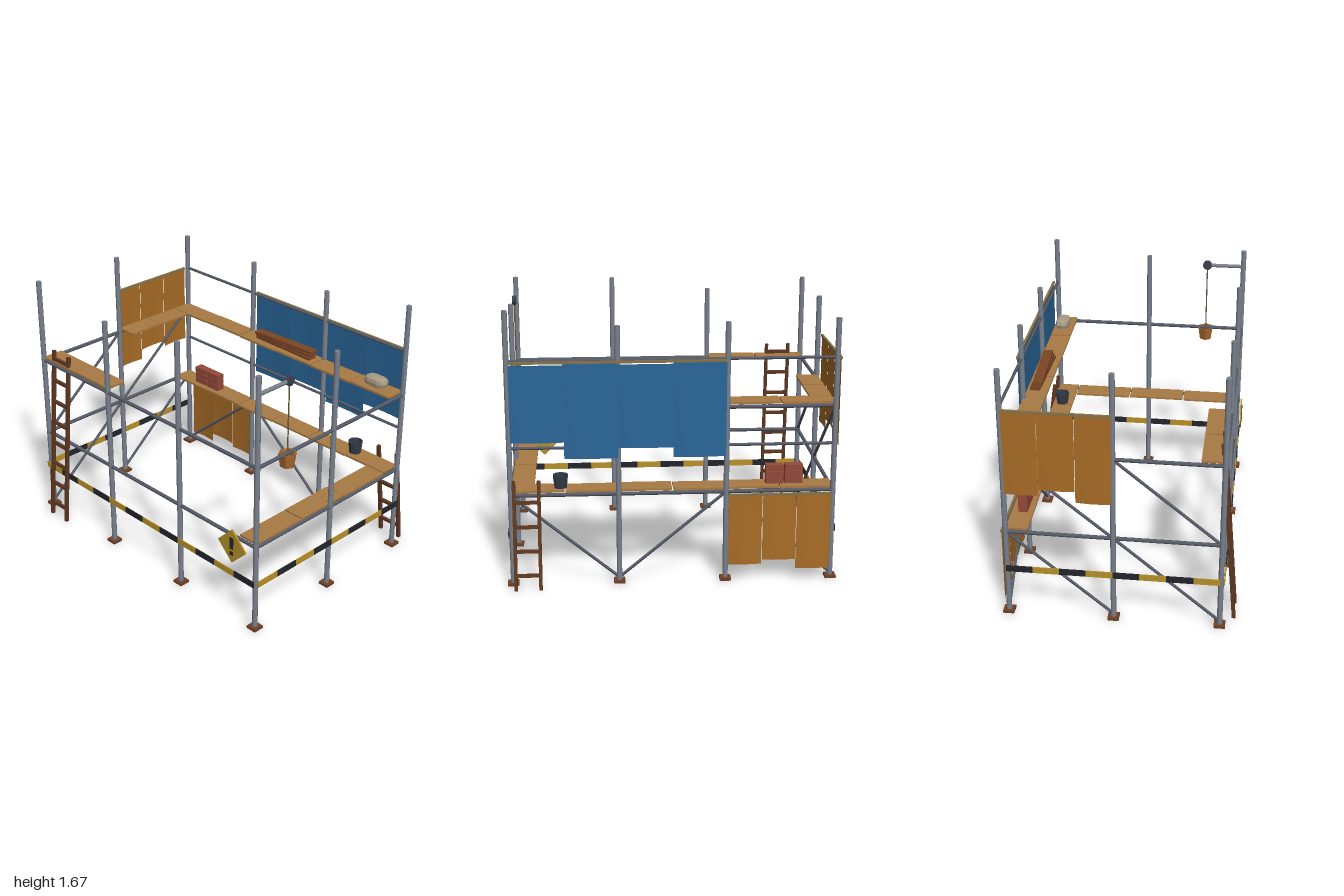
import * as THREE from 'three';

const mat = (color, extra = {}) => new THREE.MeshStandardMaterial({ color, ...extra });
const M = {
  steel: mat(0x7a818c), pipe: mat(0x555a66), plank: mat(0xa97a45), wood: mat(0x5e3822),
  foot: mat(0x6e4024), beam: mat(0x7c4524), brick: mat(0x94493a), yellow: mat(0xb8912a),
  black: mat(0x24252c), iron: mat(0x3a404c), rope: mat(0x6b5a3c), batten: mat(0x857348),
  pail: mat(0xa5672f, { flatShading: true, side: THREE.DoubleSide }),
  bucket: mat(0x343b47, { flatShading: true, side: THREE.DoubleSide }),
  sack: mat(0xa79c84, { flatShading: true }),
  blue: mat(0x2a6699, { side: THREE.DoubleSide }),
  orange: mat(0xa86c26, { side: THREE.DoubleSide }),
};
const X = [-0.965, -0.327, 0.31, 0.945];
const Z = [-0.62, 0.01, 0.64];
const LOW = 0.56, HIGH = 1.08;

export function createModel() {
  const root = new THREE.Group();

  const add = (name, geo, m, x = 0, y = 0, z = 0, parent = root) => {
    const mesh = new THREE.Mesh(geo, m);
    mesh.name = name;
    mesh.position.set(x, y, z);
    parent.add(mesh);
    return mesh;
  };
  const box = (name, m, w, h, d, x, y, z, parent) =>
    add(name, new THREE.BoxGeometry(w, h, d), m, x, y, z, parent);
  // Round pipe between two points
  const pipe = (name, m, a, b, r, parent) => {
    const A = new THREE.Vector3(...a), B = new THREE.Vector3(...b);
    const mesh = add(name, new THREE.CylinderGeometry(r, r, A.distanceTo(B), 10), m, 0, 0, 0, parent);
    mesh.position.copy(A).lerp(B, 0.5);
    mesh.quaternion.setFromUnitVectors(new THREE.Vector3(0, 1, 0), B.sub(A).normalize());
    return mesh;
  };

  // Upright posts with wooden foot blocks: x, z, height
  const posts = [
    [X[0], Z[0], 1.6], [X[1], Z[0], 1.585], [X[2], Z[0], 1.57], [X[3], Z[0], 1.665],
    [X[0], Z[1], 1.61], [X[3], Z[1], 1.58],
    [X[0], Z[2], 1.62], [X[1], Z[2], 1.55], [X[2], Z[2], 1.63], [X[3], Z[2], 1.64],
  ];
  for (const [x, z, h] of posts) {
    pipe('post', M.steel, [x, 0.01, z], [x, h, z], 0.0165);
    box('footBlock', M.foot, 0.067, 0.016, 0.067, x, 0.008, z);
  }

  // Horizontal rails around both levels, guard rails along the back
  for (const y of [LOW, HIGH]) {
    for (const z of [Z[0], Z[2]]) pipe('longRail', M.pipe, [X[0], y, z], [X[3], y, z], 0.0115);
    for (const x of [X[0], X[3]]) pipe('sideRail', M.pipe, [x, y, Z[0]], [x, y, Z[2]], 0.0115);
  }
  for (const y of [0.85, 1.37]) pipe('guardRail', M.pipe, [X[0], y, Z[0]], [X[3], y, Z[0]], 0.009);

  // Diagonal braces: zigzag at the back, parallel on the left-hand end
  for (let i = 0; i < 3; i++) {
    const up = i % 2 === 0;
    pipe('backBrace', M.pipe, [X[i], up ? 0.03 : LOW, Z[0]], [X[i + 1], up ? LOW : 0.03, Z[0]], 0.009);
  }
  for (let i = 0; i < 2; i++) {
    pipe('endBrace', M.pipe, [X[0], 0.03, Z[i + 1]], [X[0], LOW, Z[i]], 0.009);
    pipe('endBrace', M.pipe, [X[0], LOW, Z[i + 1]], [X[0], HIGH, Z[i]], 0.009);
  }

  // Plank decks: n boards filling a rectangle, alternating slightly in height
  const deck = (name, x0, x1, z0, z1, y, n) => {
    const alongX = x1 - x0 > z1 - z0;
    for (let i = 0; i < n; i++) {
      const t = (i + 0.5) / n, w = (x1 - x0), d = (z1 - z0);
      box(name, M.plank, alongX ? w / n - 0.008 : w, 0.013, alongX ? d : d / n - 0.008,
        alongX ? x0 + w * t : (x0 + x1) / 2, y + 0.018 + (i % 2) * 0.003, alongX ? (z0 + z1) / 2 : z0 + d * t);
    }
  };
  deck('lowerBackDeck', X[0], X[3], -0.62, -0.49, LOW, 6);
  deck('lowerEndDeck', 0.81, X[3], -0.487, 0.637, LOW, 3);
  deck('upperBackDeck', X[0], X[3], -0.62, -0.49, HIGH, 6);
  deck('upperEndDeck', X[0], -0.832, -0.487, 0.01, HIGH, 2);
  deck('upperFrontDeck', X[0], X[1], 0.505, 0.64, HIGH, 2);

  // Hanging sheets, each bowed a little outward; list of [from, to, bottom, top]
  const sheets = (name, m, list, place) => {
    const g = new THREE.Group();
    g.name = name;
    for (const [a, b, y0, y1] of list) {
      const geo = new THREE.PlaneGeometry(b - a, y1 - y0, 6, 6);
      const p = geo.attributes.position;
      for (let i = 0; i < p.count; i++) {
        const u = p.getX(i) / (b - a), v = p.getY(i) / (y1 - y0);
        p.setZ(i, -0.008 * Math.cos(u * Math.PI) * (0.5 - v));
      }
      geo.computeVertexNormals();
      add('sheet', geo, m, (a + b) / 2, (y0 + y1) / 2, 0, g);
    }
    const a = list[0][0], b = list[list.length - 1][1];
    box('batten', M.batten, b - a, 0.014, 0.014, (a + b) / 2, list[0][3], 0, g);
    place(g);
    root.add(g);
  };
  sheets('blueSheets', M.blue, [
    [-0.32, -0.01, 0.79, 1.365], [-0.01, 0.31, 0.85, 1.35],
    [0.31, 0.625, 0.79, 1.365], [0.625, 0.935, 0.89, 1.35],
  ], g => { g.position.z = -0.648; });
  sheets('lowerOrangeSheets', M.orange, [
    [-0.95, -0.748, 0.07, 0.545], [-0.745, -0.545, 0.13, 0.54], [-0.54, -0.34, 0.105, 0.545],
  ], g => { g.position.z = -0.648; });
  sheets('endOrangeSheets', M.orange, [
    [-0.005, 0.2, 0.8, 1.36], [0.203, 0.41, 0.87, 1.35], [0.413, 0.61, 0.83, 1.36],
  ], g => { g.rotation.y = Math.PI / 2; g.position.x = -0.99; });

  // Striped barrier bands on the front and both ends
  const band = (n, len, place) => {
    const g = new THREE.Group();
    g.name = 'barrierBand';
    for (let i = 0; i < n; i++)
      box('stripe', i % 2 ? M.black : M.yellow, len / n, 0.04, 0.006, (i + 0.5) * len / n, 0.315, 0, g);
    place(g);
    root.add(g);
  };
  band(12, 1.93, g => g.position.set(-0.98, 0, 0.66));
  for (const x of [-0.984, 0.964])
    band(8, 1.262, g => { g.position.set(x, 0, 0.638); g.rotation.y = Math.PI / 2; });

  // Leaning ladders: foot and top z give the lean
  const ladder = (name, x, zFoot, zTop, h) => {
    const g = new THREE.Group(), dz = zTop - zFoot, len = Math.hypot(h, dz);
    g.name = name;
    for (const s of [-1, 1]) box('ladderRail', M.wood, 0.02, len, 0.022, s * 0.073, len / 2, 0, g);
    for (let y = 0.09; y < len - 0.03; y += 0.147) box('rung', M.wood, 0.146, 0.02, 0.018, 0, y, 0, g);
    g.position.set(x, 0, zFoot);
    g.rotation.x = Math.atan2(dz, h);
    root.add(g);
  };
  ladder('frontLadder', -0.805, 0.72, 0.62, 1.17);
  ladder('backLadder', 0.852, -0.72, -0.635, 0.655);

  // Hoist arm, pulley, rope and pail
  pipe('hoistArm', M.steel, [X[3], 1.53, Z[2]], [X[3], 1.53, 0.385], 0.012);
  add('pulley', new THREE.CylinderGeometry(0.03, 0.03, 0.024, 10), M.iron, X[3], 1.53, 0.4).rotation.z = Math.PI / 2;
  pipe('rope', M.rope, [X[3], 1.53, 0.4], [X[3], 1.03, 0.4], 0.004);
  const tub = (name, m, r0, r1, h, sides, x, y, z) => {
    const profile = [[0, 0], [r0, 0], [r1, h], [r1 - 0.007, h], [r0 - 0.006, 0.01], [0, 0.01]];
    return add(name, new THREE.LatheGeometry(profile.map(p => new THREE.Vector2(...p)), sides), m, x, y, z);
  };
  tub('hangingPail', M.pail, 0.042, 0.055, 0.083, 6, X[3], 1.0, 0.4).rotation.y = Math.PI / 6;
  tub('deckBucket', M.bucket, 0.038, 0.047, 0.078, 10, 0.652, 0.588, -0.56);

  // Stacked bricks
  for (let row = 0; row < 3; row++)
    for (let col = 0; col < 2; col++)
      box('brick', M.brick, 0.107, 0.036, 0.055, -0.737 + col * 0.115, 0.606 + row * 0.039, -0.55);

  // Loose timber on the upper deck
  for (let i = 0; i < 3; i++)
    box('timber', M.beam, 0.48, 0.016, 0.06, 0.025, 1.114 + i * 0.019, -0.562).rotation.y = (i - 1) * 0.035;

  // Squared, low-poly sack
  const sackGeo = new THREE.SphereGeometry(1, 10, 6);
  const sp = sackGeo.attributes.position;
  const square = v => Math.sign(v) * Math.pow(Math.abs(v), 0.65);
  for (let i = 0; i < sp.count; i++)
    sp.setXYZ(i, square(sp.getX(i)) * 0.08, square(sp.getY(i)) * 0.034, square(sp.getZ(i)) * 0.046);
  add('sack', sackGeo, M.sack, 0.783, 1.138, -0.563);

  // Diamond warning board with a bar and a dot
  const sign = new THREE.Group();
  sign.name = 'warningBoard';
  box('board', M.yellow, 0.16, 0.16, 0.01, 0, 0, 0, sign).rotation.z = Math.PI / 4;
  box('warningBar', M.black, 0.026, 0.075, 0.006, 0, 0.02, 0.006, sign);
  box('warningDot', M.black, 0.026, 0.024, 0.006, 0, -0.048, 0.006, sign);
  sign.position.set(0.785, 0.51, 0.67);
  root.add(sign);

  return root;
}
